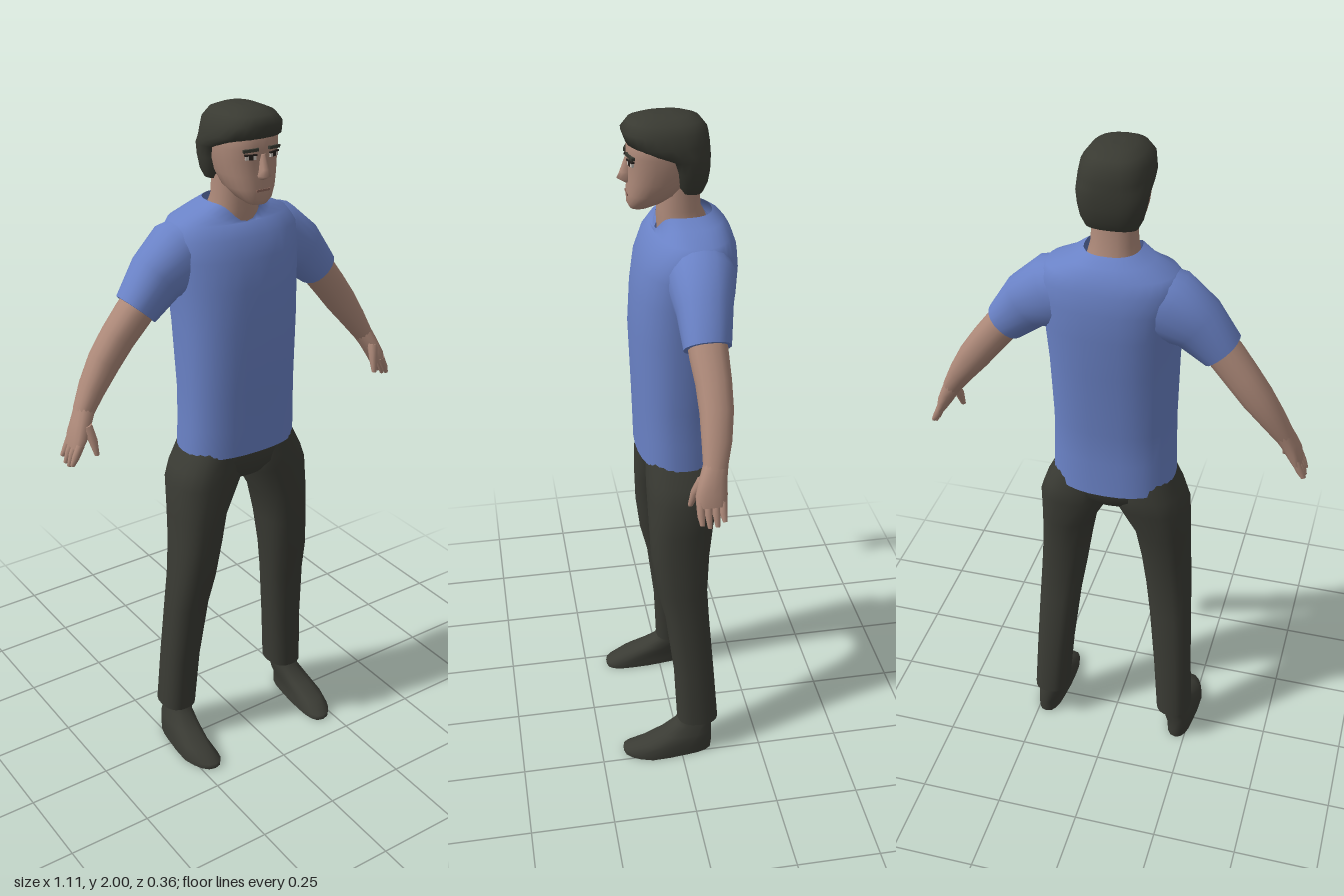
import * as THREE from 'three';

const mat = (name, color, side = THREE.FrontSide) => {
  const m = new THREE.MeshStandardMaterial({ color, side });
  m.name = name;
  return m;
};

// horizontal section: height, centre x, half width, front z, back z
const H = (y, x, r, zf, zb) => [x, y, (zf + zb) / 2, r, (zf - zb) / 2];

// Skin over superellipse sections [x, y, z, half width, half depth] along a path.
// flat: keep sections level; power: squareness; warp(v, row, sin) edits a point.
function loft(rows, { n = 20, power = 2.2, flat = true, caps = [true, true], warp } = {}) {
  const pos = [], idx = [], last = rows.length - 1;
  const sp = (c) => Math.sign(c) * Math.abs(c) ** (2 / power);
  rows.forEach(([x, y, z, ru, rz], i) => {
    const a = rows[Math.max(i - 1, 0)], b = rows[Math.min(i + 1, last)];
    let tx = b[0] - a[0], ty = b[1] - a[1];
    const l = Math.hypot(tx, ty) || 1;
    tx /= l; ty /= l;
    if (flat) { tx = 0; ty = Math.sign(rows[last][1] - rows[0][1]); }
    for (let j = 0; j < n; j++) {
      const t = (j / n) * Math.PI * 2, u = sp(Math.cos(t)) * ru;
      const v = new THREE.Vector3(x + ty * u, y - tx * u, z + sp(Math.sin(t)) * rz);
      if (warp) warp(v, i, Math.sin(t));
      pos.push(v.x, v.y, v.z);
    }
  });
  for (let i = 0; i < last; i++) for (let j = 0; j < n; j++) {
    const a = i * n + j, b = i * n + (j + 1) % n;
    idx.push(a, a + n, b, b, a + n, b + n);
  }
  // end caps on their own vertices so the rim stays sharp
  [0, last].forEach((row, e) => {
    if (!caps[e]) return;
    const s = pos.length / 3, c = [0, 0, 0];
    for (let j = 0; j < n; j++) for (let k = 0; k < 3; k++) {
      const p = pos[(row * n + j) * 3 + k];
      pos.push(p); c[k] += p / n;
    }
    pos.push(...c);
    for (let j = 0; j < n; j++) {
      const a = s + j, b = s + (j + 1) % n;
      e ? idx.push(s + n, b, a) : idx.push(s + n, a, b);
    }
  });
  const g = new THREE.BufferGeometry();
  g.setAttribute('position', new THREE.Float32BufferAttribute(pos, 3));
  g.setIndex(idx);
  g.computeVertexNormals();
  return g;
}

export function createModel() {
  const root = new THREE.Group();
  root.name = 'standingMan';
  const skin = mat('skin', 0xad8979);
  const shirt = mat('blueShirt', 0x6a82c6, THREE.DoubleSide);
  const trousers = mat('darkTrousers', 0x3a3b34);
  const hair = mat('darkHair', 0x393a32);
  const white = mat('eyeWhite', 0xc8c0b8);
  const dark = mat('eyeDark', 0x241f1c);
  const lips = mat('lips', 0x8d675b);
  const add = (name, geo, m, parent = root) => {
    const mesh = new THREE.Mesh(geo, m);
    mesh.name = name;
    parent.add(mesh);
    return mesh;
  };

  // shirt body: hem dips at the back, collar drops to a V at the front
  const body = [
    H(1.005, 0, .18, .1, -.145), H(1.1, 0, .177, .102, -.14), H(1.2, 0, .175, .105, -.143),
    H(1.4, 0, .18, .112, -.165), H(1.52, 0, .187, .105, -.178), H(1.6, 0, .197, .093, -.181),
    H(1.655, 0, .2, .072, -.175), H(1.692, 0, .175, .048, -.162), H(1.718, 0, .115, .042, -.143),
    H(1.74, 0, .076, .038, -.115),
  ];
  add('shirtBody', loft(body, {
    n: 32, power: 2.4, caps: [true, false],
    warp: (v, i, s) => {
      if (i === 0) v.y += s * .013;
      if (i === 9) v.y -= .05 * Math.max(0, s) ** 5;
      if (i === 8) v.y -= .035 * Math.max(0, s) ** 3;
    },
  }), shirt);

  // neck and head
  add('neck', loft([
    H(1.66, 0, .08, .03, -.11), H(1.72, 0, .07, .034, -.1), H(1.75, 0, .063, .032, -.085),
    H(1.82, 0, .06, .03, -.08),
  ]), skin);
  add('head', loft([
    H(1.753, 0, .026, .105, .055), H(1.768, 0, .046, .113, .02), H(1.795, 0, .064, .113, -.03),
    H(1.83, 0, .075, .111, -.06), H(1.87, 0, .082, .109, -.08), H(1.9, 0, .085, .112, -.085),
    H(1.94, 0, .085, .108, -.085), H(1.975, 0, .06, .08, -.06),
  ], { n: 24, power: 2.4 }), skin);
  add('nose', loft([
    H(1.822, 0, .012, .118, .09), H(1.833, 0, .018, .138, .09), H(1.85, 0, .012, .13, .09),
    H(1.888, 0, .008, .116, .09),
  ], { n: 8, power: 2 }), skin);
  add('mouth', new THREE.BoxGeometry(.042, .006, .008), lips).position.set(0, 1.793, .1095);

  // hair: cap above the brow, sideburns and nape behind it
  add('hair', loft([
    H(1.8, 0, .07, -.02, -.088), H(1.825, 0, .083, -.004, -.1), H(1.86, 0, .091, .008, -.106),
    H(1.893, 0, .096, .022, -.107), H(1.91, 0, .098, .075, -.106), H(1.93, 0, .098, .113, -.105),
    H(1.962, 0, .092, .125, -.1), H(1.985, 0, .074, .108, -.082), H(1.997, 0, .045, .075, -.05),
    H(2, 0, .015, .04, -.01),
  ], { n: 24, power: 2.5 }), hair);

  // hips joining the legs
  add('hips', loft([
    H(.925, 0, .08, .06, -.1), H(.96, 0, .17, .08, -.125), H(1, 0, .18, .085, -.13),
    H(1.04, 0, .168, .08, -.125),
  ], { n: 24, power: 2.4 }), trousers);

  for (const s of [1, -1]) {
    const side = new THREE.Group();
    side.name = s > 0 ? 'leftSide' : 'rightSide';
    root.add(side);
    const flip = (rows) => rows.map(([x, ...r]) => [s * x, ...r]);
    const part = (name, rows, m, opt) => add(name, loft(flip(rows), opt), m, side);

    // sleeve, arm and hand
    part('sleeve', [
      [.1, 1.615, -.06, .09, .085], [.16, 1.595, -.06, .1, .092], [.235, 1.55, -.055, .08, .075],
      [.303, 1.475, -.05, .06, .063],
    ], shirt, { flat: false, caps: [false, true] });
    part('arm', [
      [.27, 1.51, -.05, .05, .054], [.315, 1.46, -.051, .05, .052], [.36, 1.405, -.055, .048, .048],
      [.405, 1.345, -.055, .045, .045], [.45, 1.28, -.048, .036, .04], [.486, 1.222, -.038, .027, .032],
    ], skin, { flat: false, n: 16 });
    part('palm', [
      [.478, 1.235, -.04, .028, .033], [.5, 1.195, -.028, .024, .038], [.515, 1.165, -.023, .021, .042],
      [.528, 1.135, -.022, .014, .04],
    ], skin, { flat: false, n: 14 });
    [.008, -.012, -.032, -.051].forEach((z, i) => {
      const tip = [1.094, 1.085, 1.087, 1.1][i];
      part('finger', [
        [.522, 1.15, z, .012, .011], [.538, 1.118, z, .01, .01], [.549, tip, z - .002, .006, .006],
      ], skin, { flat: false, n: 8 });
    });
    part('thumb', [
      [.495, 1.2, -.004, .016, .016], [.487, 1.16, .014, .013, .013], [.483, 1.118, .026, .007, .007],
    ], skin, { flat: false, n: 8 });

    // trouser leg
    part('trouserLeg', [
      H(.118, .206, .054, .008, -.12), H(.3, .194, .057, .016, -.107), H(.5, .178, .063, .04, -.092),
      H(.6, .168, .068, .064, -.087), H(.72, .155, .073, .079, -.094), H(.82, .144, .081, .083, -.106),
      H(.92, .116, .107, .084, -.125), H(.97, .105, .1, .084, -.128), H(1.03, .09, .084, .078, -.12),
    ], trousers, { power: 2.4 });

    // shoe: toe leans inward, heel is narrower
    part('shoe', [
      H(0, .222, .05, .18, -.098), H(.018, .222, .05, .182, -.1), H(.042, .222, .047, .13, -.1),
      H(.07, .216, .042, .065, -.1), H(.1, .209, .036, .015, -.1), H(.135, .207, .035, .0, -.1),
    ], trousers, {
      power: 2.5,
      warp: (v) => {
        const c = s * .222;
        if (v.y < .06) v.x = c + (v.x - c) * (v.z < .08 ? .85 + Math.max(v.z, 0) * 1.9 : 1);
        if (v.z > .1) v.x -= s * (v.z - .1) * .15;
      },
    });

    // eye and brow plates
    const eye = new THREE.Group();
    eye.name = 'eye';
    eye.position.set(s * .036, 1.882, .1055);
    eye.rotation.y = s * .28;
    side.add(eye);
    add('eyeWhite', new THREE.BoxGeometry(.03, .011, .006), white, eye);
    add('iris', new THREE.BoxGeometry(.012, .011, .008), dark, eye);
    add('lashLine', new THREE.BoxGeometry(.034, .004, .009), dark, eye).position.y = .007;
    const brow = add('brow', new THREE.BoxGeometry(.042, .008, .009), hair, eye);
    brow.position.set(0, .019, .001);
    brow.rotation.z = -s * .08;
  }
  return root;
}
